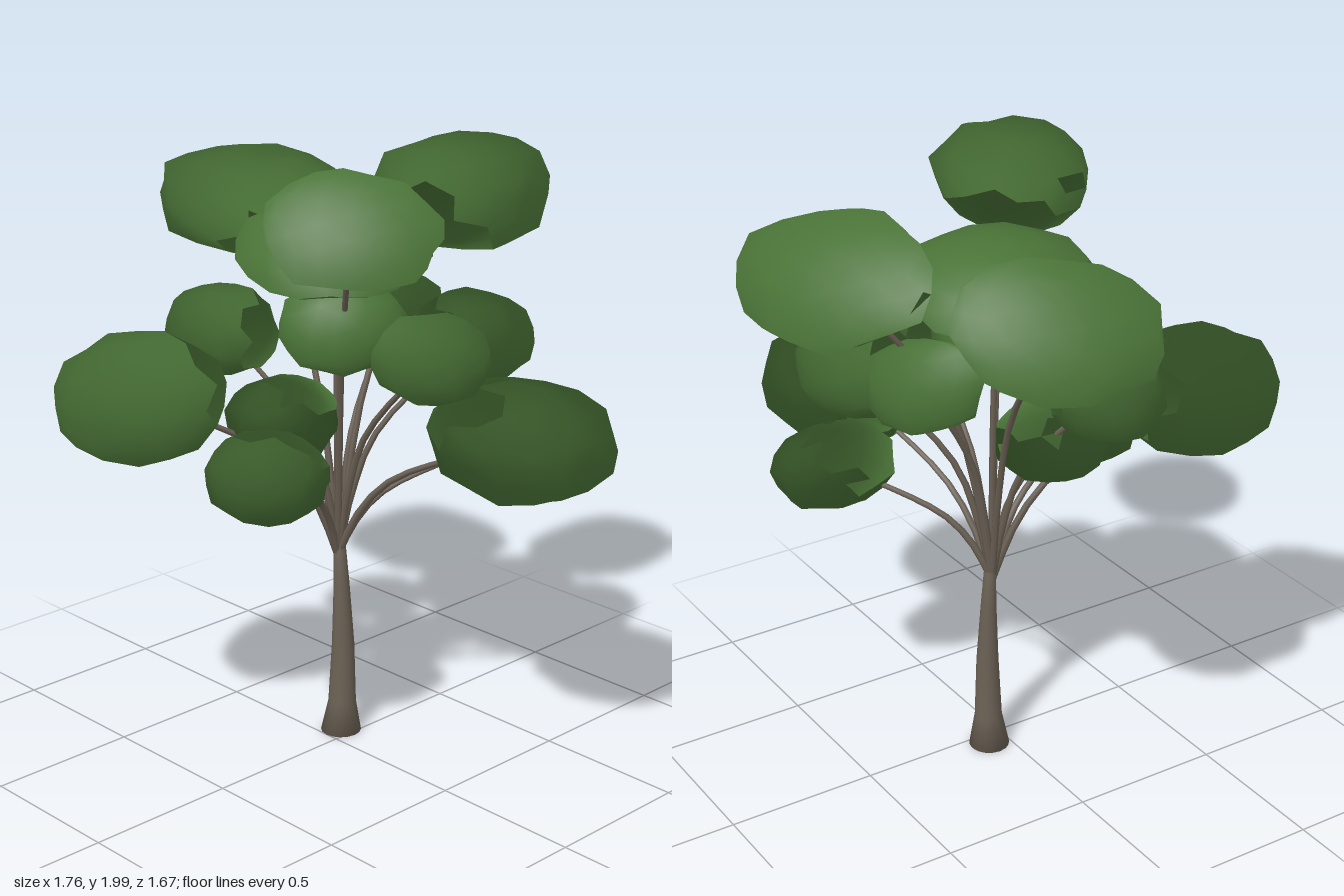
import * as THREE from 'three';

const bark = new THREE.MeshStandardMaterial({ color: 0x6a6054 });
bark.name = 'bark';
const leaf = new THREE.MeshStandardMaterial({ color: 0x4a7337 });
leaf.name = 'leaf green';

const FORK = new THREE.Vector3(-0.054, 0.63, -0.06);
const CROWN = new THREE.Vector3(-0.04, 1.41, -0.06);

// leaf clumps: centre, radii, boxiness (2 is a plain ellipsoid)
const CLUMPS = [
  [[0.33, 1.83, 0.26], [0.27, 0.17, 0.24], 2.4],
  [[-0.57, 1.71, -0.17], [0.32, 0.17, 0.28], 2.8],
  [[-0.01, 1.77, -0.57], [0.25, 0.185, 0.28], 2.8],
  [[-0.055, 1.66, -0.04], [0.29, 0.15, 0.31], 2.4],
  [[0.05, 1.44, 0.02], [0.19, 0.14, 0.21], 2.3],
  [[0.34, 1.38, -0.08], [0.19, 0.14, 0.17], 2.3],
  [[0.22, 1.36, -0.38], [0.2, 0.15, 0.19], 2.3],
  [[0.28, 1.01, -0.44], [0.16, 0.14, 0.21], 2.2],
  [[0.575, 1.135, -0.24], [0.31, 0.185, 0.26], 2.3],
  [[-0.3, 1.25, 0.55], [0.265, 0.195, 0.285], 2.2],
  [[-0.38, 1.37, 0.14], [0.19, 0.15, 0.17], 2.3],
  [[-0.13, 1.12, 0.11], [0.175, 0.135, 0.18], 2.3],
  [[0.07, 1.04, 0.36], [0.19, 0.14, 0.195], 2.3],
  [[-0.08, 1.39, -0.32], [0.18, 0.14, 0.18], 2.3],
];

// repeatable noise: the same point always gives the same value
function noise(x, y, z, seed) {
  const s = Math.sin(Math.round(x * 100) * 12.99 + Math.round(y * 100) * 78.23
    + Math.round(z * 100) * 37.72 + seed * 9.17) * 43758.55;
  return s - Math.floor(s);
}

// ragged, slightly boxy ellipsoid, shaded softly as one crown
function clump(center, radii, boxiness, seed) {
  const g = new THREE.IcosahedronGeometry(1, 2);
  const p = g.attributes.position, n = g.attributes.normal;
  const c = new THREE.Vector3(...center), r = new THREE.Vector3(...radii);
  const v = new THREE.Vector3(), own = new THREE.Vector3();
  for (let i = 0; i < p.count; i++) {
    v.fromBufferAttribute(p, i).normalize();
    own.copy(v).divide(r).normalize();
    const sum = Math.abs(v.x) ** boxiness + Math.abs(v.y) ** boxiness + Math.abs(v.z) ** boxiness;
    const size = sum ** (-1 / boxiness) * (0.9 + 0.12 * noise(v.x, v.y, v.z, seed));
    v.multiplyScalar(size).multiply(r).add(c);
    p.setXYZ(i, v.x, v.y, v.z);
    v.sub(CROWN).normalize().addScaledVector(own, 0.25).normalize();
    n.setXYZ(i, v.x, v.y, v.z);
  }
  return new THREE.Mesh(g, leaf);
}

// round tapering limb swept along a curve
function limb(curve, radiusAt, segments, sides) {
  const g = new THREE.TubeGeometry(curve, segments, 1, sides, false);
  const p = g.attributes.position, v = new THREE.Vector3(), c = new THREE.Vector3();
  for (let i = 0; i < p.count; i++) {
    const t = Math.floor(i / (sides + 1)) / segments;
    curve.getPointAt(t, c);
    v.fromBufferAttribute(p, i).sub(c).multiplyScalar(radiusAt(t)).add(c);
    p.setXYZ(i, v.x, v.y, v.z);
  }
  return new THREE.Mesh(g, bark);
}

export function createModel() {
  const tree = new THREE.Group();
  tree.name = 'tree';

  // trunk with a flared foot
  const profile = [[0, 0], [0.067, 0], [0.046, 0.11], [0.037, 0.32], [0.026, 0.53], [0.02, 0.66], [0, 0.66]];
  const trunkGeo = new THREE.LatheGeometry(profile.map(([x, y]) => new THREE.Vector2(x, y)), 16);
  const tp = trunkGeo.attributes.position;
  for (let i = 0; i < tp.count; i++) {
    // gentle bow along the height
    const bow = Math.sin(Math.PI * tp.getY(i) / 0.66);
    tp.setX(i, tp.getX(i) - 0.045 - 0.01 * tp.getY(i) + 0.013 * bow);
    tp.setZ(i, tp.getZ(i) - 0.066);
  }
  const trunk = new THREE.Mesh(trunkGeo, bark);
  trunk.name = 'trunk';
  tree.add(trunk);

  const branches = new THREE.Group();
  branches.name = 'branches';
  const foliage = new THREE.Group();
  foliage.name = 'foliage';
  CLUMPS.forEach(([center, radii, boxiness], i) => {
    const leaves = clump(center, radii, boxiness, i + 1);
    leaves.name = 'leafClump' + (i + 1);
    foliage.add(leaves);

    // branch rises steeply, then leans out into its clump
    const end = new THREE.Vector3(...center);
    const reach = end.clone().sub(FORK);
    const along = (out, up) => FORK.clone().add(new THREE.Vector3(reach.x * out, reach.y * up, reach.z * out));
    const path = new THREE.CatmullRomCurve3([FORK, along(0.11, 0.3), along(0.3, 0.58), end]);
    const branch = limb(path, (t) => 0.013 - 0.005 * t, 10, 6);
    branch.name = 'branch' + (i + 1);
    branches.add(branch);
  });
  tree.add(branches, foliage);
  return tree;
}
